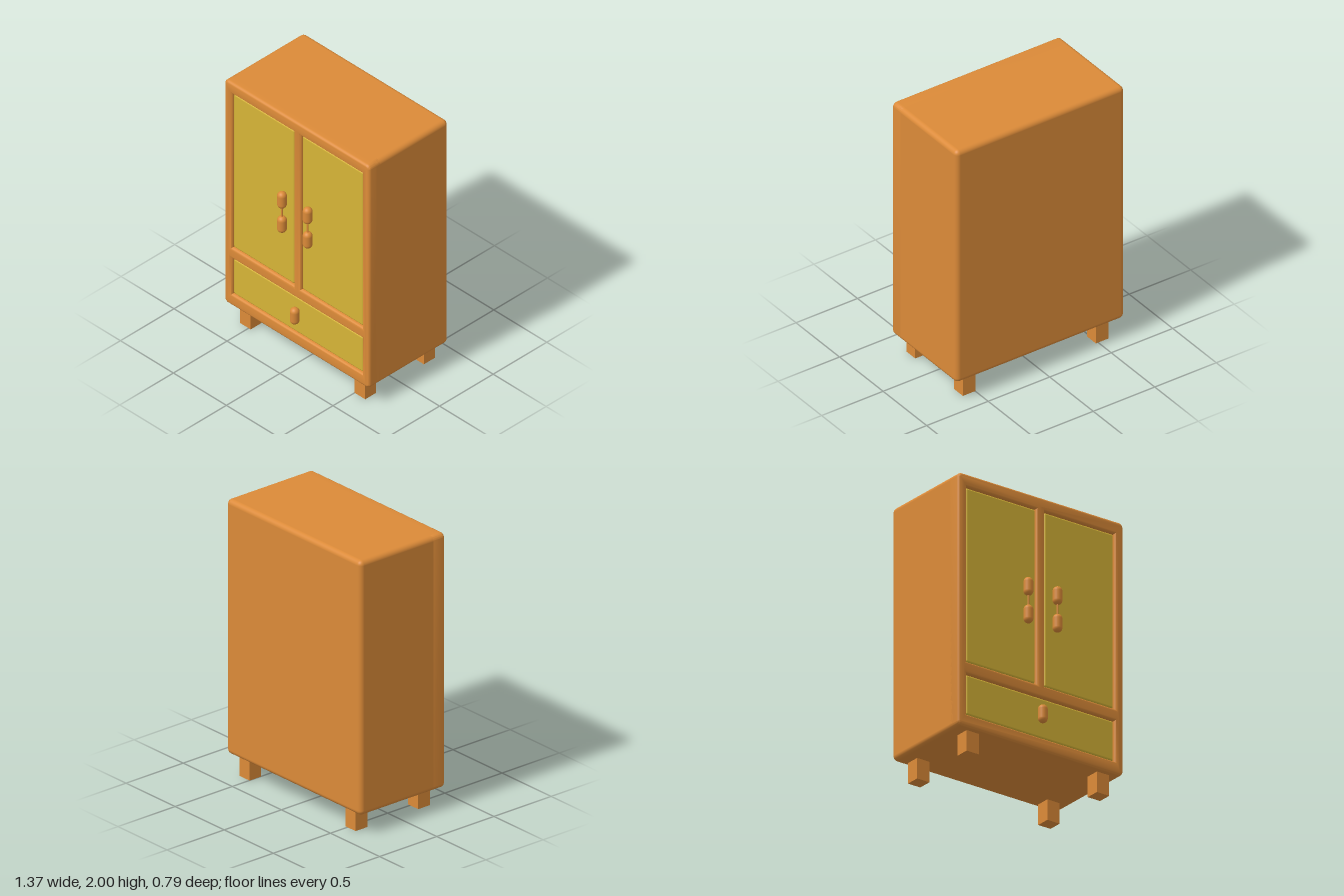
import * as THREE from 'three';
import { RoundedBoxGeometry } from 'three/addons/geometries/RoundedBoxGeometry.js';
import { toCreasedNormals } from 'three/addons/utils/BufferGeometryUtils.js';

const wood = new THREE.MeshStandardMaterial({ color: 0xdb8a38 });
const yellow = new THREE.MeshStandardMaterial({ color: 0xd6b437 });

// Openings in the front frame: [name, x0, x1, y0, y1]
const openings = [
  ['rightDoor', -0.615, -0.035, 0.628, 1.908],
  ['leftDoor', 0.035, 0.615, 0.628, 1.908],
  ['drawerFront', -0.615, 0.615, 0.243, 0.54],
];

function roundedRect(path, x0, x1, y0, y1, r) {
  path.moveTo(x0 + r, y0);
  path.lineTo(x1 - r, y0).absarc(x1 - r, y0 + r, r, -Math.PI / 2, 0);
  path.lineTo(x1, y1 - r).absarc(x1 - r, y1 - r, r, 0, Math.PI / 2);
  path.lineTo(x0 + r, y1).absarc(x0 + r, y1 - r, r, Math.PI / 2, Math.PI);
  path.lineTo(x0, y0 + r).absarc(x0 + r, y0 + r, r, Math.PI, Math.PI * 1.5);
  return path;
}

function rectHole(x0, x1, y0, y1) {
  return new THREE.Path([[x0, y0], [x0, y1], [x1, y1], [x1, y0]].map(p => new THREE.Vector2(...p)));
}

export function createModel() {
  const model = new THREE.Group();
  model.name = 'wardrobe';
  const add = (name, geometry, material, x, y, z) => {
    const mesh = new THREE.Mesh(geometry, material);
    mesh.name = name;
    mesh.position.set(x, y, z);
    model.add(mesh);
  };

  // Cabinet body, ending at the bottom of the front recesses
  add('body', new RoundedBoxGeometry(1.37, 1.85, 0.71, 5, 0.035), wood, 0, 1.075, -0.042);

  // Front frame with softened edges around the body and each opening
  const shape = roundedRect(new THREE.Shape(), -0.685, 0.685, 0.15, 2, 0.035);
  for (const [, ...o] of openings) shape.holes.push(rectHole(...o));
  const bevel = 0.022;
  const frame = new THREE.ExtrudeGeometry(shape, {
    depth: 0.08, bevelThickness: bevel, bevelSize: bevel, bevelOffset: -bevel,
    bevelSegments: 5, curveSegments: 6,
  });
  add('frontFrame', toCreasedNormals(frame, 0.7), wood, 0, 0, 0.345 - 0.08 - bevel);

  // Inset door and drawer panels
  for (const [name, x0, x1, y0, y1] of openings) {
    add(name, new RoundedBoxGeometry(x1 - x0 - 0.006, y1 - y0 - 0.006, 0.05, 4, 0.014), yellow,
      (x0 + x1) / 2, (y0 + y1) / 2, 0.305);
  }

  // Capsule grips; each door has a pair joined by a thin rod
  const grip = new THREE.CapsuleGeometry(0.033, 0.066, 8, 20);
  const rod = new THREE.CylinderGeometry(0.007, 0.007, 0.14, 12);
  for (const [side, x] of [['right', -0.12], ['left', 0.122]]) {
    add(side + 'UpperGrip', grip, wood, x, 1.307, 0.363);
    add(side + 'LowerGrip', grip, wood, x, 1.105, 0.363);
    add(side + 'HandleRod', rod, wood, x, 1.206, 0.363);
  }
  add('drawerGrip', grip, wood, 0, 0.408, 0.363);

  // Square legs
  const leg = new THREE.BoxGeometry(0.102, 0.18, 0.102);
  for (const [side, x] of [['Right', -0.532], ['Left', 0.549]]) {
    add('front' + side + 'Leg', leg, wood, x, 0.09, 0.247);
    add('back' + side + 'Leg', leg, wood, x, 0.09, -0.3);
  }
  return model;
}
